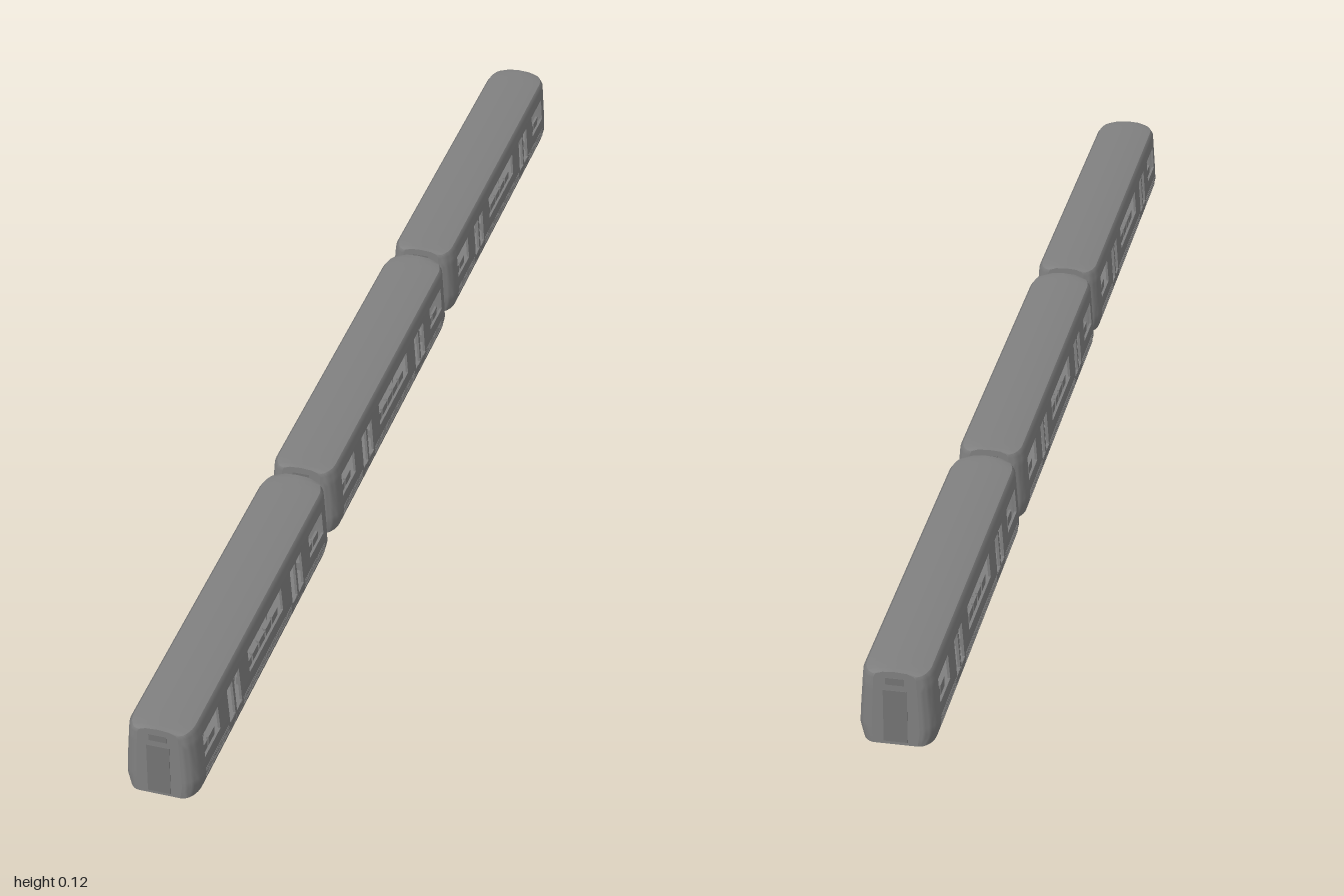
import * as THREE from 'three';
import { toCreasedNormals } from 'three/addons/utils/BufferGeometryUtils.js';

const HALF = 0.3265;      // half length of a car body
const PITCH = 0.6725;     // distance between car centres
const CORNER = 0.035;     // rounding of the car ends in plan

// half cross-section, floor to roof ridge: [x, y]
const PROFILE = [
  [0.053, 0], [0.056, 0.012], [0.058, 0.02], [0.0577, 0.03], [0.0565, 0.05], [0.0535, 0.09],
  [0.0528, 0.1], [0.0518, 0.109], [0.047, 0.1157], [0.03, 0.1197], [0, 0.121],
];

// window openings on one half of the car: z range, then profile rows
const OPENINGS = [
  [-0.08, 0.08, 4, 5], [0.121, 0.147, 3, 5], [0.152, 0.178, 3, 5], [0.216, 0.284, 4, 5],
];
const WINDOWS = OPENINGS.concat(OPENINGS.slice(1).map(([a, b, r0, r1]) => [-b, -a, r0, r1]));

const bodyGrey = new THREE.MeshStandardMaterial({ color: 0x808080, side: THREE.DoubleSide });
const doorGrey = new THREE.MeshStandardMaterial({ color: 0x747474 });

// narrowing of the body towards its rounded ends
function taper(z) {
  const t = Math.max(0, (Math.abs(z) - (HALF - CORNER)) / CORNER);
  return 1 - 0.4 * (1 - Math.sqrt(Math.max(0, 1 - t * t)));
}

function point(row, z, side, inset = 0) {
  const [x, y] = PROFILE[row];
  return [side * Math.max(0, x * taper(z) - inset), y, z];
}

function quad(out, a, b, c, d, flip = false) {
  if (flip) [b, d] = [d, b];
  out.push(...a, ...b, ...c, ...a, ...c, ...d);
}

function meshFrom(name, positions) {
  const geometry = new THREE.BufferGeometry();
  geometry.setAttribute('position', new THREE.Float32BufferAttribute(positions, 3));
  const mesh = new THREE.Mesh(toCreasedNormals(geometry, 0.6), bodyGrey);
  mesh.name = name;
  return mesh;
}

function isOpen(z, row) {
  return WINDOWS.some(([a, b, r0, r1]) => z > a && z < b && row >= r0 && row < r1);
}

// one layer of wall between two profile rows, leaving out the windows
function skin(out, side, inset, row0, row1, stations) {
  for (let i = 0; i < stations.length - 1; i++) {
    const [z0, z1] = [stations[i], stations[i + 1]];
    for (let r = row0; r < row1; r++) {
      if (isOpen((z0 + z1) / 2, r)) continue;
      quad(out, point(r, z0, side, inset), point(r + 1, z0, side, inset),
        point(r + 1, z1, side, inset), point(r, z1, side, inset), side < 0);
    }
  }
}

function box(parent, name, w, h, d, x, y, z, material = bodyGrey) {
  const mesh = new THREE.Mesh(new THREE.BoxGeometry(w, h, d), material);
  mesh.name = name;
  mesh.position.set(x, y, z);
  parent.add(mesh);
}

function makeStations() {
  const z = WINDOWS.flatMap(([a, b]) => [a, b]);
  for (let i = 0; i <= 8; i++) {
    const end = HALF - CORNER + CORNER * Math.sin((i / 8) * Math.PI / 2);
    z.push(end, -end);
  }
  return z.sort((a, b) => a - b);
}

function makeShell(car) {
  const stations = makeStations();
  const body = [], lining = [], reveals = [], doors = [], floor = [], ends = [];
  const top = PROFILE.length - 1;
  for (const side of [-1, 1]) {
    skin(body, side, 0, 0, top, stations);
    skin(lining, side, 0.004, 1, 7, stations);

    // depth of every window opening
    for (const [a, b, r0, r1] of WINDOWS) {
      for (const z of [a, b]) {
        for (let r = r0; r < r1; r++) {
          quad(reveals, point(r, z, side), point(r + 1, z, side),
            point(r + 1, z, side, 0.004), point(r, z, side, 0.004), (z === a) === (side > 0));
        }
      }
      for (const r of [r0, r1]) {
        quad(reveals, point(r, a, side), point(r, b, side),
          point(r, b, side, 0.004), point(r, a, side, 0.004), (r === r0) === (side > 0));
      }
    }

    // pairs of door leaves, slightly proud of the wall
    for (const s of [-1, 1]) {
      for (const leaf of [[0.116, 0.121, 0.147, 0.149], [0.15, 0.152, 0.178, 0.183]]) {
        skin(doors, side, -0.0008, 1, 6, leaf.map((z) => z * s).sort((a, b) => a - b));
      }
    }

    // flat end wall
    const z = side * HALF;
    for (let r = 0; r < top; r++) {
      quad(ends, point(r, z, -1), point(r, z, 1), point(r + 1, z, 1), point(r + 1, z, -1), side < 0);
    }
  }
  for (let i = 0; i < stations.length - 1; i++) {
    const [a, b] = [stations[i], stations[i + 1]];
    quad(floor, point(0, a, -1), point(0, a, 1), point(0, b, 1), point(0, b, -1));
  }
  car.add(meshFrom('bodyShell', body), meshFrom('innerLining', lining),
    meshFrom('windowReveals', reveals), meshFrom('sideDoors', doors),
    meshFrom('underside', floor), meshFrom('endWalls', ends));
}

function makeCar(name) {
  const car = new THREE.Group();
  car.name = name;
  makeShell(car);

  // end doors and blank destination panels
  for (const s of [-1, 1]) {
    box(car, 'endDoor', 0.035, 0.085, 0.002, 0, 0.0475, s * HALF, doorGrey);
    box(car, 'destinationPanel', 0.027, 0.011, 0.002, 0, 0.105, s * HALF, doorGrey);
  }

  // interior floor, seats against the walls, grab rails, handles and poles
  box(car, 'cabinFloor', 0.1, 0.003, 0.6, 0, 0.012, 0);
  for (const side of [-1, 1]) {
    for (const [z, count] of [[0, 5], [-0.25, 2], [0.25, 2]]) {
      for (let i = 0; i < count; i++) {
        const seatZ = z + (i - (count - 1) / 2) * 0.031;
        box(car, 'seatBase', 0.018, 0.014, 0.028, side * 0.042, 0.025, seatZ);
        box(car, 'seatBack', 0.004, 0.026, 0.026, side * 0.047, 0.043, seatZ);
        box(car, 'grabHandle', 0.002, 0.007, 0.004, side * 0.03, 0.067, seatZ);
      }
      const length = count * 0.031;
      box(car, 'grabRail', 0.0015, 0.002, length, side * 0.03, 0.071, z);
      for (const s of [-1, 1]) {
        box(car, 'grabPole', 0.0015, 0.1, 0.0015, side * 0.03, 0.063, z + s * length / 2);
      }
    }
    // fluted strips along the lower side
    for (let i = 0; i < 4; i++) {
      box(car, 'sideRib', 0.0014, 0.002, 0.57, side * 0.0577, 0.0165 + i * 0.004, 0);
    }
  }
  return car;
}

export function createModel() {
  const train = new THREE.Group();
  train.name = 'train';
  ['rearCar', 'middleCar', 'frontCar'].forEach((name, i) => {
    const car = makeCar(name);
    car.position.z = (i - 1) * PITCH;
    train.add(car);
  });
  return train;
}
